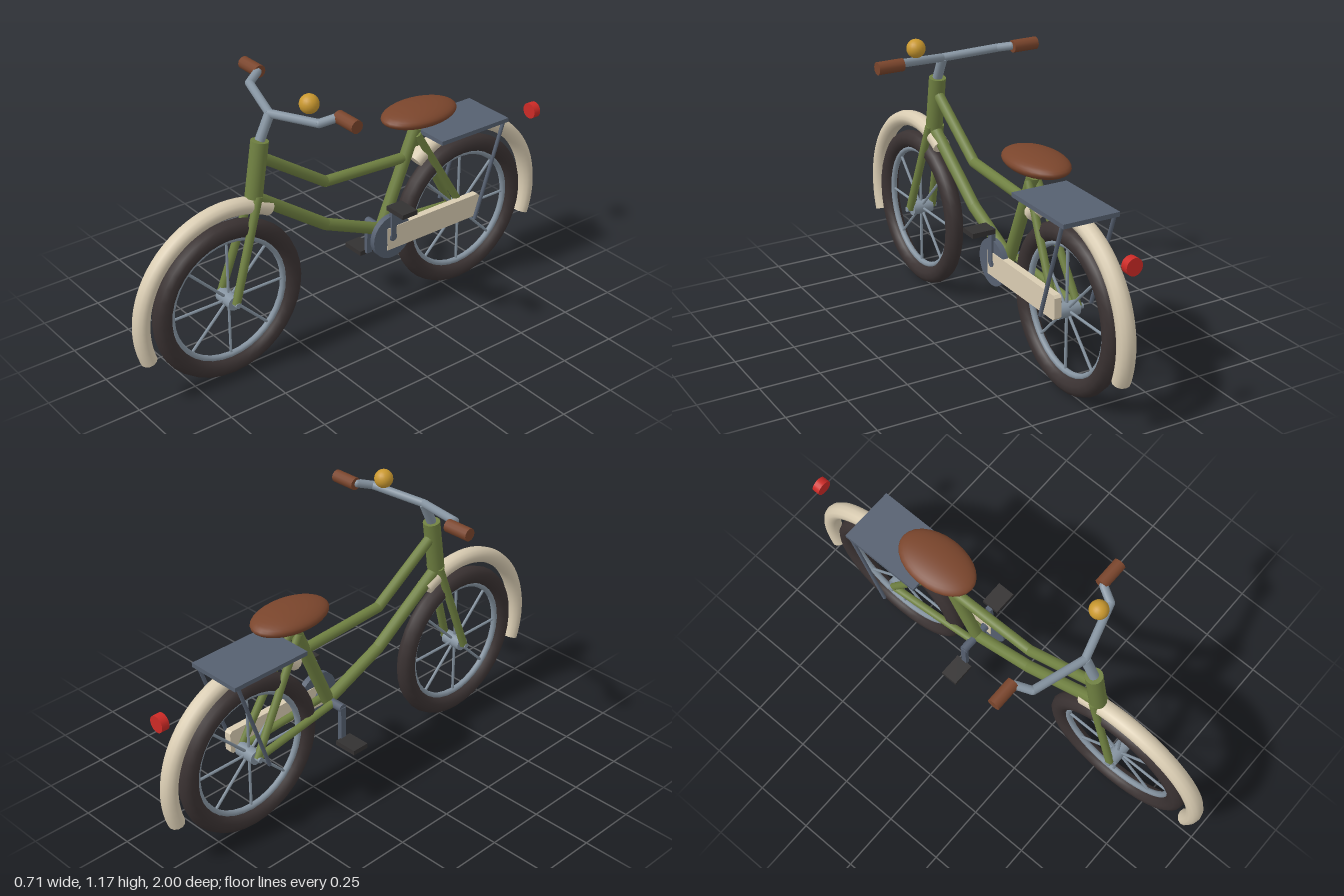
import * as THREE from 'three';

const V = (x, y, z) => new THREE.Vector3(x, y, z);
const mat = (name, color) => Object.assign(new THREE.MeshStandardMaterial({ color }), { name });

export function createModel() {
  const green = mat('frame green', 0x6f8041);
  const cream = mat('cream', 0xd9ccb2);
  const steel = mat('light steel', 0x8593a0);
  const iron = mat('dark steel', 0x566070);
  const rubber = mat('tyre rubber', 0x3a3232);
  const black = mat('pedal black', 0x333131);
  const leather = mat('brown leather', 0x7a452c);
  const brass = mat('brass', 0xc9982f);
  const red = mat('lamp red', 0xcc2a26);

  const bike = new THREE.Group();
  bike.name = 'bicycle';

  const add = (name, geometry, material, pos = V(0, 0, 0), parent = bike) => {
    const mesh = new THREE.Mesh(geometry, material);
    mesh.name = name;
    mesh.position.copy(pos);
    parent.add(mesh);
    return mesh;
  };

  // Straight round bar between two points
  const bar = (name, a, b, r, material, parent = bike, sides = 12) => {
    const d = b.clone().sub(a);
    const mesh = add(name, new THREE.CylinderGeometry(r, r, d.length(), sides), material,
      a.clone().add(b).multiplyScalar(0.5), parent);
    mesh.quaternion.setFromUnitVectors(V(0, 1, 0), d.normalize());
    return mesh;
  };

  // Bent bar: straight pieces with round joints
  const bentBar = (name, points, r, material) => {
    const group = new THREE.Group();
    group.name = name;
    bike.add(group);
    for (let i = 1; i < points.length; i++) {
      bar(name + 'Piece', points[i - 1], points[i], r, material, group);
      if (i > 1) add(name + 'Joint', new THREE.SphereGeometry(r, 12, 8), material, points[i - 1], group);
    }
  };

  const frontHub = V(0, 0.34, 0.58);
  const rearHub = V(0, 0.34, -0.58);
  const crank = V(0, 0.385, -0.163);

  // Wheels
  const wheel = (name, center) => {
    const group = new THREE.Group();
    group.name = name;
    group.position.copy(center);
    bike.add(group);
    add('tyre', new THREE.TorusGeometry(0.297, 0.038, 10, 36).rotateY(Math.PI / 2), rubber, undefined, group);
    add('rim', new THREE.TorusGeometry(0.256, 0.013, 8, 36).rotateY(Math.PI / 2), steel, undefined, group);
    bar('hub', V(-0.045, 0, 0), V(0.045, 0, 0), 0.03, steel, group, 14);
    bar('axle', V(-0.07, 0, 0), V(0.07, 0, 0), 0.012, steel, group, 8);
    for (let i = 0; i < 8; i++) {
      const t = i * Math.PI / 4;
      bar('spoke', V(0, 0, 0), V(0, Math.sin(t) * 0.255, Math.cos(t) * 0.255), 0.006, steel, group, 6);
    }
  };
  wheel('frontWheel', frontHub);
  wheel('rearWheel', rearHub);

  // Mudguards: capped arcs, angles in degrees from the front going up
  const mudguard = (name, center, from, to) => {
    const group = new THREE.Group();
    group.name = name;
    group.position.copy(center);
    group.scale.x = 1.12;
    bike.add(group);
    const a = THREE.MathUtils.degToRad(from), b = THREE.MathUtils.degToRad(to);
    const arc = new THREE.TorusGeometry(0.387, 0.033, 12, 32, b - a).rotateZ(a).rotateY(-Math.PI / 2);
    add('mudguardArc', arc, cream, undefined, group);
    for (const [t, side] of [[a, 1], [b, -1]]) {
      const cap = add('mudguardEnd', new THREE.CircleGeometry(0.033, 12), cream,
        V(0, Math.sin(t) * 0.387, Math.cos(t) * 0.387), group);
      cap.quaternion.setFromUnitVectors(V(0, 0, 1),
        V(0, -Math.cos(t) * side, Math.sin(t) * side));
    }
  };
  mudguard('frontMudguard', frontHub, -20, 120);
  mudguard('rearMudguard', rearHub, 51, 200);

  // Frame
  const headTop = V(0, 0.965, 0.415), headLow = V(0, 0.74, 0.45), seatTop = V(0, 0.79, -0.335);
  bar('headTube', headLow, headTop, 0.035, green, bike, 16);
  bentBar('topTube', [V(0, 0.9, 0.42), V(0, 0.695, 0.115), V(0, 0.675, -0.27)], 0.022, green);
  bentBar('downTube', [headLow, V(0, 0.505, 0.115), crank], 0.025, green);
  bar('seatTube', crank, seatTop, 0.026, green);
  for (const s of [-1, 1]) {
    bar('forkLeg', V(s * 0.025, 0.75, 0.445), V(s * 0.053, 0.34, 0.58), 0.017, green);
    bar('seatStay', V(s * 0.02, 0.77, -0.33), V(s * 0.05, 0.34, -0.58), 0.016, green);
    bar('chainStay', V(s * 0.03, 0.385, -0.17), V(s * 0.05, 0.34, -0.58), 0.016, green);
  }

  // Saddle
  bar('seatPost', seatTop, V(0, 0.84, -0.35), 0.016, steel);
  add('saddle', new THREE.SphereGeometry(1, 28, 18).scale(0.11, 0.042, 0.175), leather, V(0, 0.853, -0.353));

  // Handlebar
  const barMid = V(0, 1.062, 0.368);
  bar('stem', headTop, barMid, 0.02, steel);
  const half = (s) => [V(s * 0.285, 1.108, 0.237), V(s * 0.25, 1.105, 0.247), V(s * 0.22, 1.087, 0.305)];
  bentBar('handlebar', [...half(-1), barMid, ...half(1).reverse()], 0.017, steel);
  for (const s of [-1, 1]) bar('grip', V(s * 0.247, 1.105, 0.237), V(s * 0.356, 1.105, 0.237), 0.026, leather);
  add('bell', new THREE.SphereGeometry(0.038, 20, 14), brass, V(0.155, 1.14, 0.3));

  // Chainring, cranks and pedals
  bar('chainring', V(0.055, 0.385, -0.163), V(0.079, 0.385, -0.163), 0.096, iron, bike, 28);
  bar('crankAxle', V(-0.085, 0.385, -0.163), V(0.085, 0.385, -0.163), 0.018, iron);
  for (const s of [-1, 1]) {
    add('crankArm', new THREE.BoxGeometry(0.018, 0.15, 0.025), iron, V(s * 0.079, 0.385 + s * 0.072, -0.163));
    add('pedal', new THREE.BoxGeometry(0.1, 0.02, 0.075), black, V(s * 0.134, 0.385 + s * 0.146, -0.163));
  }

  // Chain case with clipped corners
  const z0 = 0.135, z1 = 0.625, y0 = 0.33, y1 = 0.43, c = 0.01;
  const outline = new THREE.Shape([
    [z0, y0], [z1 - c, y0], [z1, y0 + c], [z1, y1 - c], [z1 - c, y1], [z0, y1],
  ].map(([z, y]) => new THREE.Vector2(z, y)));
  add('chainCase', new THREE.ExtrudeGeometry(outline, { depth: 0.03, bevelEnabled: false }).rotateY(Math.PI / 2),
    cream, V(0.052, 0, 0));

  // Luggage rack
  add('rackPlate', new THREE.BoxGeometry(0.24, 0.018, 0.354), iron, V(0, 0.752, -0.555));
  for (const s of [-1, 1]) bar('rackStrut', V(s * 0.112, 0.748, -0.712), V(s * 0.112, 0.34, -0.575), 0.008, iron, bike, 8);

  // Tail lamp
  bar('tailLamp', V(0, 0.677, -1), V(0, 0.677, -0.967), 0.034, red, bike, 20);

  return bike;
}
